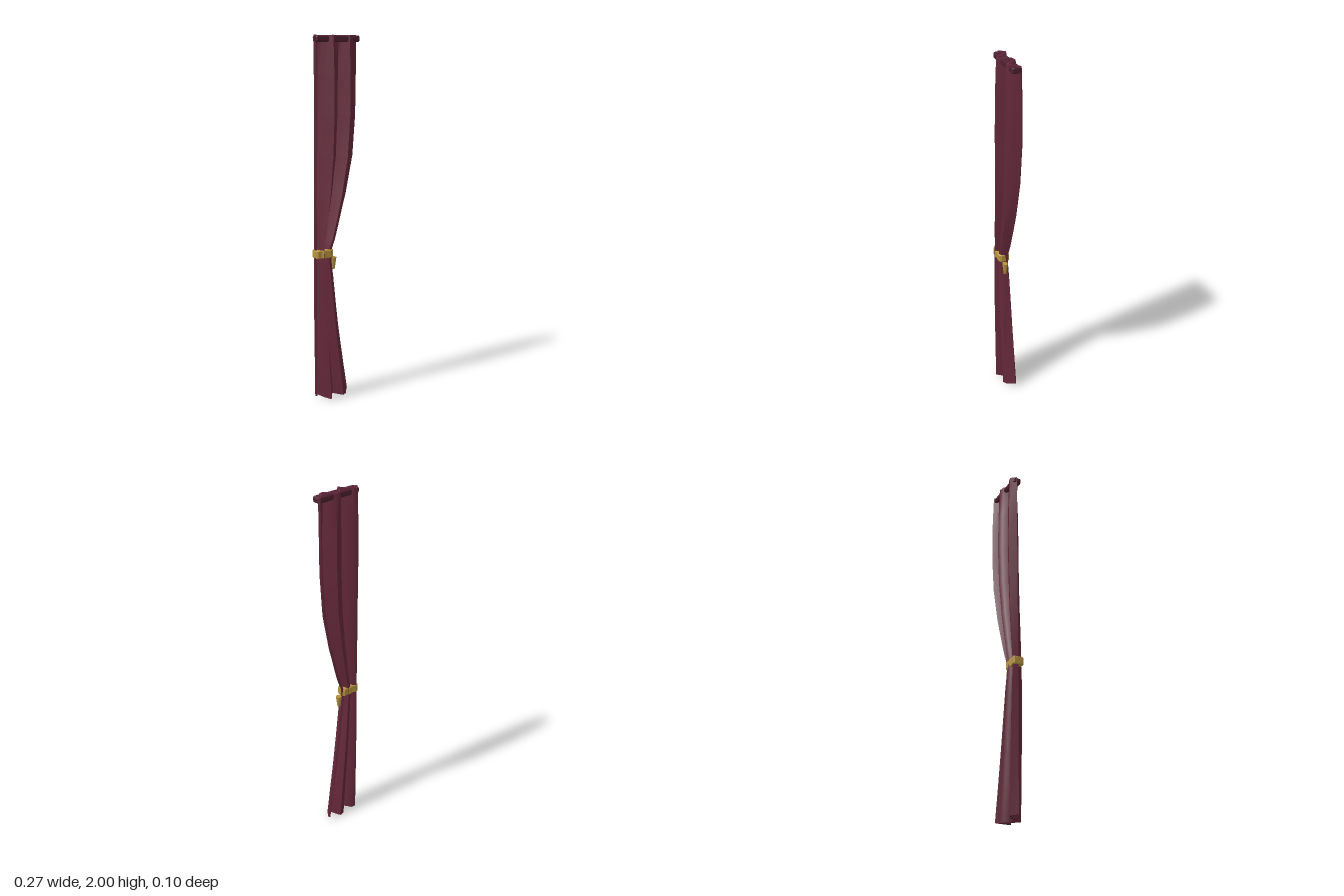
import * as THREE from 'three';
import { toCreasedNormals } from 'three/addons/utils/BufferGeometryUtils.js';
import { RoundedBoxGeometry } from 'three/addons/geometries/RoundedBoxGeometry.js';

const LEFT = -0.13;
const THICK = 0.012;

// Pleat line: fraction across the cloth, depth at the header
const PLEATS = [
  [0, -0.004], [0.09, -0.034], [0.16, -0.028], [0.25, 0.004], [0.34, 0.032], [0.41, 0.008],
  [0.5, -0.026], [0.61, -0.031], [0.68, -0.006], [0.76, 0.022], [0.84, 0.014], [0.92, -0.008], [1, -0.025],
];

// Rows from hem to header: height, right edge, depth scale
const ROWS = [
  [0.02, 0.078, 1.2], [0.18, 0.052, 1.15], [0.36, 0.024, 1.1], [0.55, -0.002, 1.05], [0.7, -0.02, 0.95],
  [0.8, -0.034, 0.85], [0.86, -0.03, 0.85], [0.92, -0.005, 0.92], [1.0, 0.02, 1.02], [1.15, 0.065, 1.14],
  [1.36, 0.11, 1.25], [1.58, 0.128, 1.32], [1.8, 0.13, 1.25], [2.0, 0.127, 1],
];

// Closed thin sheet following the pleat line through every row
function clothGeometry() {
  const pos = [], index = [];
  const n = PLEATS.length, ring = 2 * n;
  ROWS.forEach(([y, right, depth], r) => {
    const line = PLEATS.map(([u, z]) => new THREE.Vector2(LEFT + 0.003 + u * (right - LEFT), z * depth));
    const normals = line.map((p, i) => {
      const t = line[Math.min(i + 1, n - 1)].clone().sub(line[Math.max(i - 1, 0)]).normalize();
      return new THREE.Vector2(-t.y, t.x).multiplyScalar(THICK / 2);
    });
    const put = (i, side) => {
      const hem = r === 0 ? -0.02 * Math.sin(Math.PI * PLEATS[i][0]) : 0;
      pos.push(line[i].x + side * normals[i].x, y + hem, line[i].y + side * normals[i].y);
    };
    for (let i = 0; i < n; i++) put(i, 1);
    for (let i = n - 1; i >= 0; i--) put(i, -1);
  });
  for (let r = 0; r < ROWS.length - 1; r++) {
    for (let i = 0; i < ring; i++) {
      const a = r * ring + i, b = r * ring + (i + 1) % ring;
      index.push(a, b, b + ring, a, b + ring, a + ring);
    }
  }
  // Hem and header edges
  const top = (ROWS.length - 1) * ring;
  for (let i = 0; i < n - 1; i++) {
    const f0 = i, f1 = i + 1, b0 = ring - 1 - i, b1 = ring - 2 - i;
    index.push(top + f0, top + f1, top + b1, top + f0, top + b1, top + b0);
    index.push(f0, b1, f1, f0, b0, b1);
  }
  const g = new THREE.BufferGeometry();
  g.setAttribute('position', new THREE.Float32BufferAttribute(pos, 3));
  g.setIndex(index);
  return toCreasedNormals(g, 1.2);
}

// Band hugging the gathered pleats, drawn in plan and extruded upward
function bandGeometry() {
  const plan = [
    [-0.136, 0.02], [-0.129, 0.028], [-0.108, 0.024], [-0.095, 0.032], [-0.075, 0.026], [-0.058, 0.031],
    [-0.036, 0.025], [-0.029, 0.015], [-0.029, -0.023], [-0.037, -0.031], [-0.055, -0.027], [-0.075, -0.034],
    [-0.095, -0.028], [-0.115, -0.035], [-0.13, -0.034], [-0.136, -0.026],
  ];
  const shape = new THREE.Shape(plan.map(([x, z]) => new THREE.Vector2(x, -z)));
  const g = new THREE.ExtrudeGeometry(shape, {
    depth: 0.036, bevelEnabled: true, bevelSize: 0.003, bevelOffset: -0.003, bevelThickness: 0.004, bevelSegments: 1,
  });
  g.rotateX(-Math.PI / 2);
  return toCreasedNormals(g, 0.6);
}

export function createModel() {
  const model = new THREE.Group();
  model.name = 'tiedCurtain';
  const cloth = new THREE.MeshStandardMaterial({ color: 0x64283a });
  const header = new THREE.MeshStandardMaterial({ color: 0x4e2030 });
  const gold = new THREE.MeshStandardMaterial({ color: 0xb8943f });
  const add = (name, geometry, material, x = 0, y = 0, z = 0) => {
    const mesh = new THREE.Mesh(geometry, material);
    mesh.name = name;
    mesh.position.set(x, y, z);
    model.add(mesh);
    return mesh;
  };

  add('curtainCloth', clothGeometry(), cloth);
  add('headerRail', new RoundedBoxGeometry(0.265, 0.034, 0.048, 2, 0.01), header, 0.002, 1.981, -0.003);
  add('tiebackBand', bandGeometry(), gold, 0, 0.819, 0);

  // Tapered tassel hanging beside the band
  const tassel = new THREE.CylinderGeometry(0.019, 0.009, 0.066, 8, 1);
  const p = tassel.attributes.position;
  for (let i = 0; i < p.count; i++) p.setZ(i, p.getZ(i) * 0.85);
  add('tassel', toCreasedNormals(tassel, 0.9), gold, -0.02, 0.777, 0);
  return model;
}
